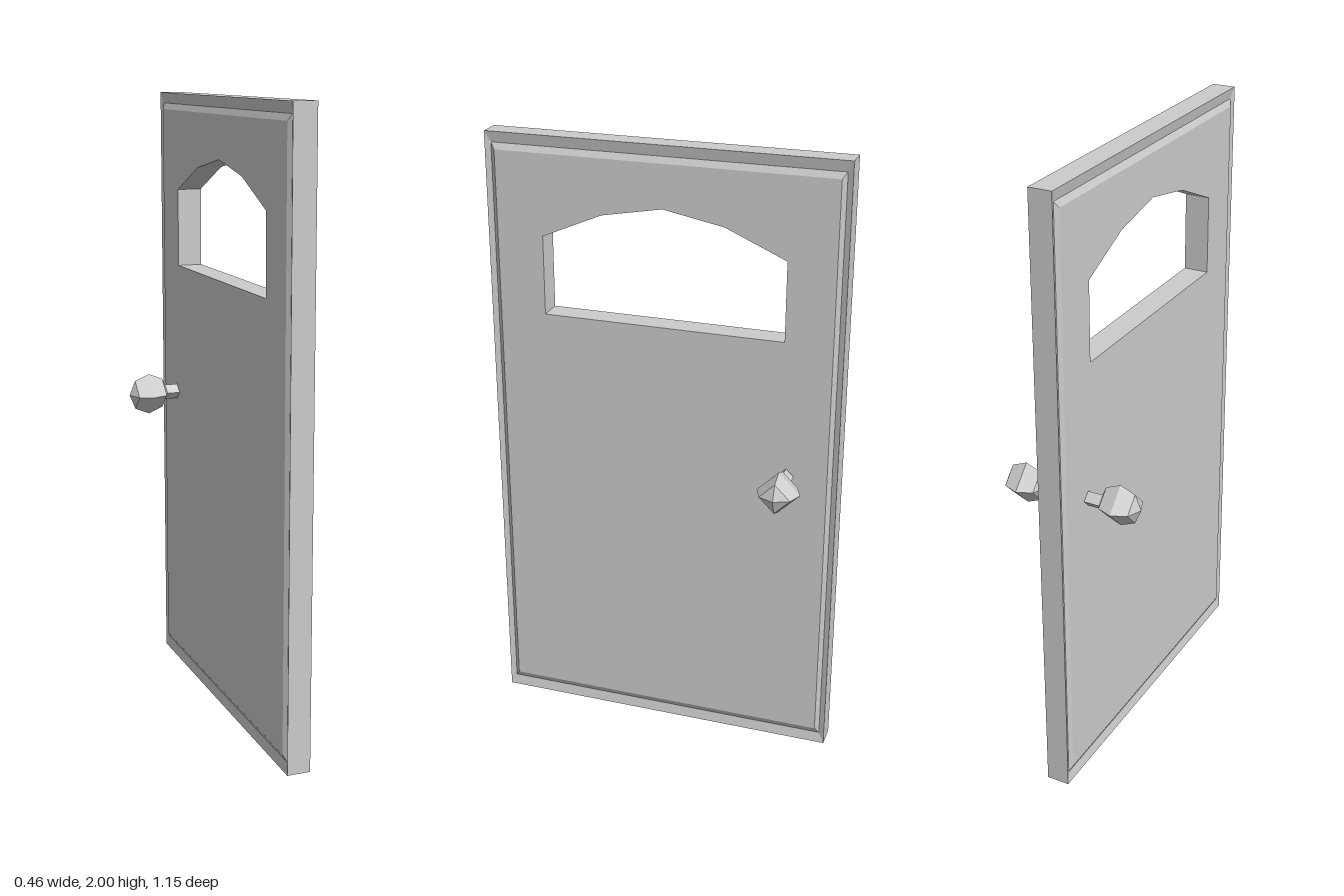
import * as THREE from 'three';

const material = new THREE.MeshStandardMaterial({ color: 0xcccccc, flatShading: true });
const HALF_WIDTH = 0.573, HEIGHT = 2;
const FACE = { right: 0.028, left: -0.053, insetZ: 0.032, insetY: 0.055 };

function addMesh(parent, name, geometry) {
  const mesh = new THREE.Mesh(geometry, material);
  mesh.name = name;
  parent.add(mesh);
  return mesh;
}

// Rim: rectangular loops from one face, over the grooved border, to the other face
function rimGeometry() {
  const sections = [
    [FACE.right, FACE.insetZ, FACE.insetY],
    [0.018, 0.018, 0.035],
    [0.025, 0, 0],
    [-0.05, 0, 0],
    [-0.043, 0.018, 0.035],
    [FACE.left, FACE.insetZ, FACE.insetY],
  ];
  const rings = sections.map(([x, insetZ, insetY]) => {
    const z = HALF_WIDTH - insetZ, top = HEIGHT - insetY;
    return [[x, insetY, z], [x, insetY, -z], [x, top, -z], [x, top, z]];
  });
  const positions = [];
  for (let r = 0; r < rings.length - 1; r++) {
    for (let i = 0; i < 4; i++) {
      const j = (i + 1) % 4, a = rings[r], b = rings[r + 1];
      positions.push(...b[i], ...b[j], ...a[j], ...b[i], ...a[j], ...a[i]);
    }
  }
  const geometry = new THREE.BufferGeometry();
  geometry.setAttribute('position', new THREE.Float32BufferAttribute(positions, 3));
  geometry.computeVertexNormals();
  return geometry;
}

// Panel: raised field with an arched window cut through it
function panelGeometry() {
  const points = (list) => list.map(([x, y]) => new THREE.Vector2(x, y));
  const z = HALF_WIDTH - FACE.insetZ, bottom = FACE.insetY, top = HEIGHT - FACE.insetY;
  const shape = new THREE.Shape(points([[-z, bottom], [z, bottom], [z, top], [-z, top]]));
  shape.holes.push(new THREE.Path(points([
    [-0.39, 1.43], [-0.39, 1.685], [-0.195, 1.77], [0, 1.807],
    [0.195, 1.77], [0.39, 1.685], [0.39, 1.43],
  ])));
  const geometry = new THREE.ExtrudeGeometry(shape, {
    depth: FACE.right - FACE.left, bevelEnabled: false,
  });
  return geometry.rotateY(Math.PI / 2).translate(FACE.left, 0, 0);
}

// Handle: four-sided stem and faceted knob, pointing along x
function makeHandle(name, side, stemStart, stemZ, knobZ) {
  const handle = new THREE.Group();
  handle.name = name;
  const stemEnd = 0.13, length = stemEnd - stemStart;
  const stem = addMesh(handle, 'stem',
    new THREE.CylinderGeometry(0.025, 0.025, length, 4).rotateZ(Math.PI / 2));
  stem.position.set(side * (stemStart + length / 2), 0.99, stemZ);
  const knob = addMesh(handle, 'knob',
    new THREE.SphereGeometry(0.069, 4, 4).rotateZ(Math.PI / 2));
  knob.position.set(side * 0.159, 0.99, knobZ);
  return handle;
}

export function createModel() {
  const door = new THREE.Group();
  door.name = 'door';
  addMesh(door, 'rim', rimGeometry());
  addMesh(door, 'panel', panelGeometry());
  door.add(makeHandle('leftHandle', 1, 0.04, -0.412, -0.419));
  door.add(makeHandle('rightHandle', -1, 0.045, -0.416, -0.407));
  return door;
}
